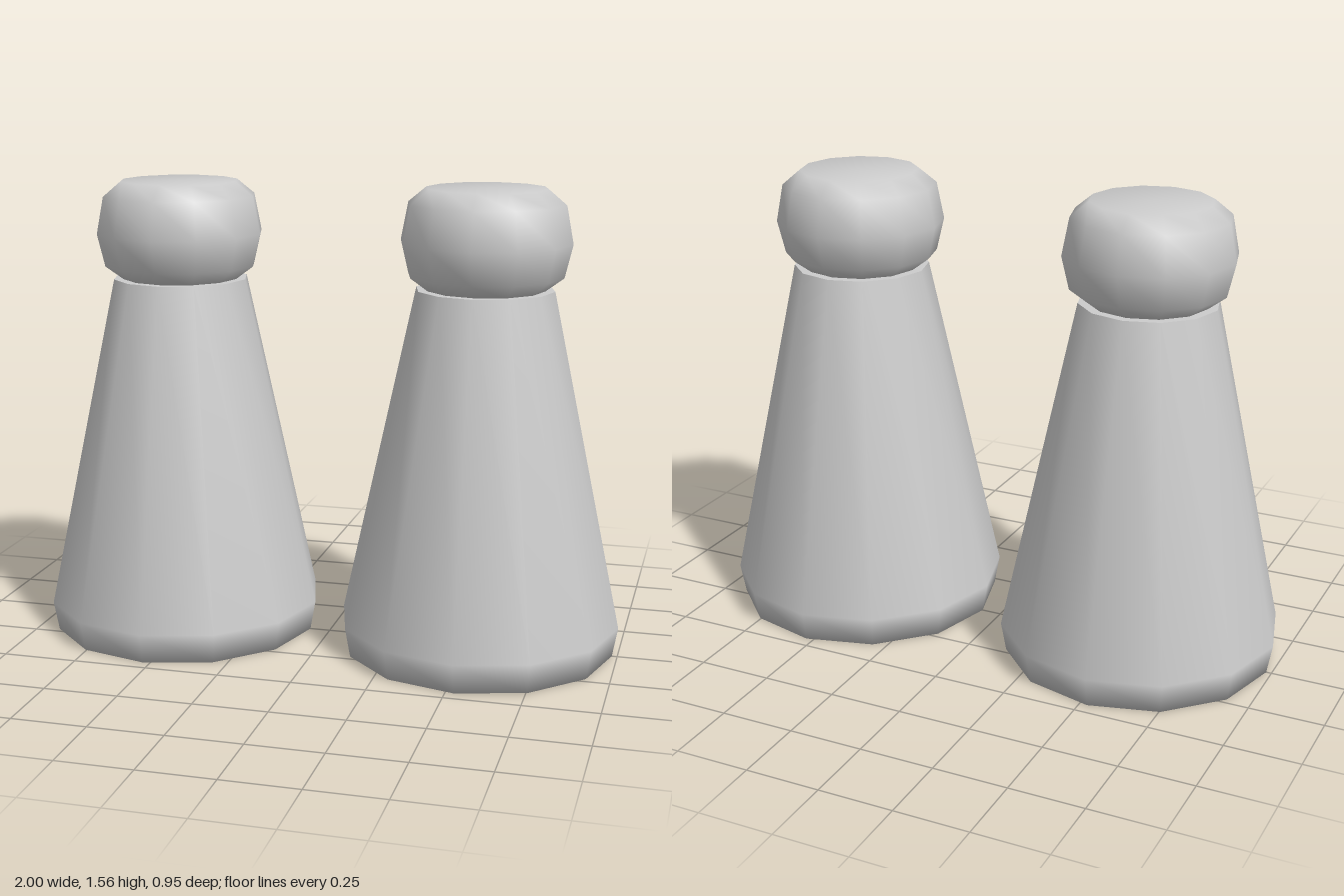
import * as THREE from 'three';
import { mergeVertices } from 'three/addons/utils/BufferGeometryUtils.js';

const SIDES = 12;
const material = new THREE.MeshStandardMaterial({ color: 0xcccccc });

// Turned shape from [radius, height] pairs, with smooth shading across every ring
function turned(name, profile) {
  let geometry = new THREE.LatheGeometry(profile.map(([r, y]) => new THREE.Vector2(r, y)), SIDES);
  geometry.deleteAttribute('normal');
  geometry.deleteAttribute('uv');
  geometry = mergeVertices(geometry);
  geometry.computeVertexNormals();
  const mesh = new THREE.Mesh(geometry, material);
  mesh.name = name;
  return mesh;
}

function createShaker(name, x) {
  const shaker = new THREE.Group();
  shaker.name = name;
  shaker.position.x = x;

  // Tapered body with a chamfered foot and closed underside
  const body = turned('body', [[0, 0], [0.456, 0], [0.474, 0.1], [0.23, 1.23]]);

  // Flat shoulder under the cap, kept separate for a crisp rim
  const shoulder = turned('shoulder', [[0.23, 1.23], [0, 1.23]]);

  // Rounded cap with a flat top
  const cap = turned('cap', [
    [0, 1.228], [0.195, 1.228], [0.258, 1.275], [0.284, 1.385],
    [0.26, 1.51], [0.2, 1.56], [0, 1.56],
  ]);

  shaker.add(body, shoulder, cap);
  return shaker;
}

export function createModel() {
  const model = new THREE.Group();
  model.name = 'shakerPair';
  model.add(createShaker('leftShaker', 0.526), createShaker('rightShaker', -0.526));
  return model;
}
